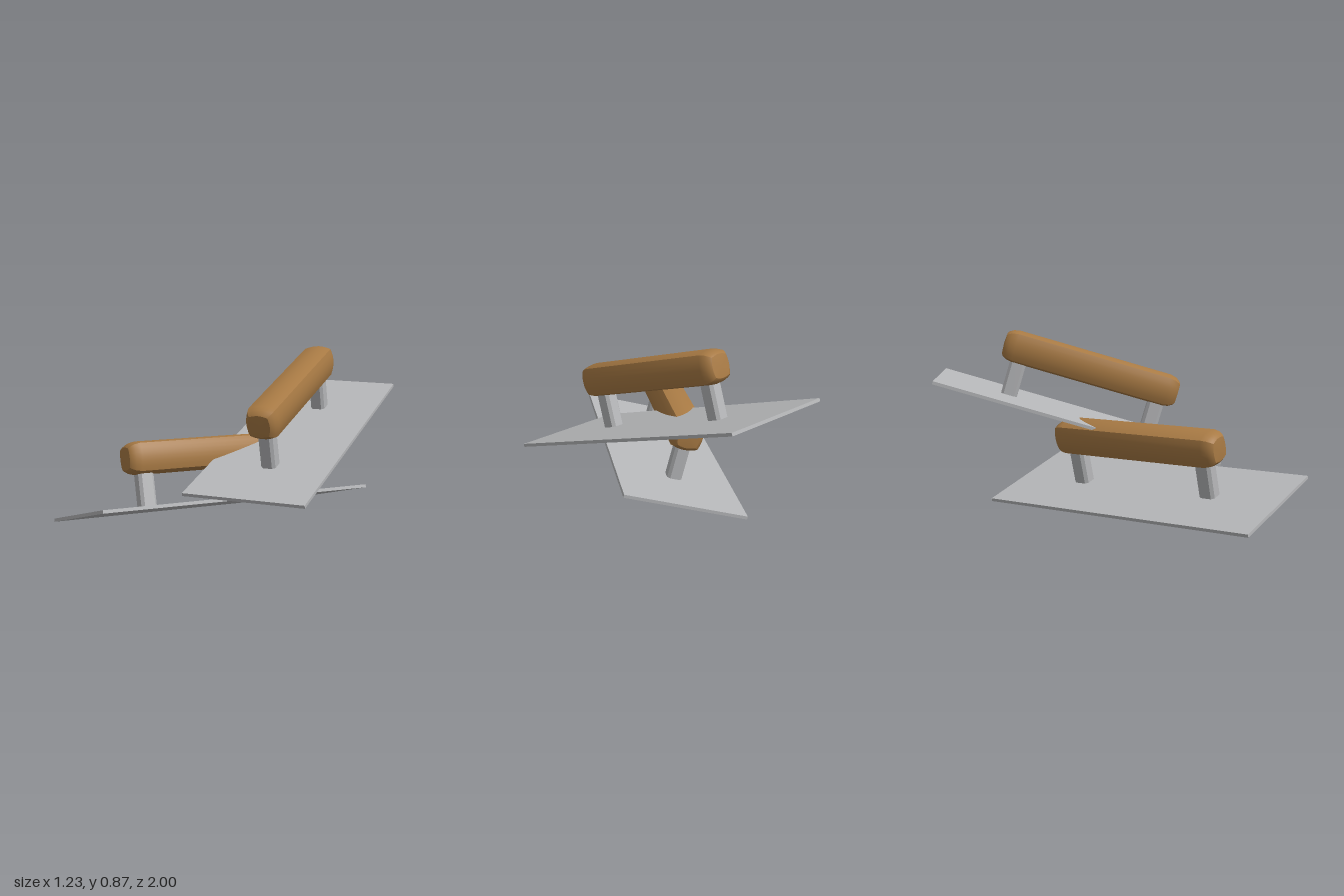
import * as THREE from 'three';
import { toCreasedNormals } from 'three/addons/utils/BufferGeometryUtils.js';

// Grip: a square section with bulging sides, softly tapered at both ends
function gripGeometry() {
  const section = [];
  const steps = 6, corner = 0.07, bulge = 0.014;
  for (let side = 0; side < 4; side++) {
    for (let i = 0; i < steps; i++) {
      const t = -1 + (2 * i) / steps;
      const p = new THREE.Vector2(corner + bulge * (1 - t * t), corner * t);
      section.push(p.rotateAround(new THREE.Vector2(), (side * Math.PI) / 2));
    }
  }
  const end = [[0.405, 1], [0.435, 0.92], [0.455, 0.78], [0.462, 0.68], [0.467, 0]];
  const rings = [...end.map(([z, s]) => [-z, s]).reverse(), ...end];
  const n = section.length, pos = [], index = [];
  rings.forEach(([z, s], r) => {
    section.forEach((p, i) => {
      pos.push(p.x * s, p.y * s, z);
      if (r === rings.length - 1) return;
      const a = r * n + i, b = r * n + ((i + 1) % n);
      if (r > 0) index.push(a, b, b + n);
      if (r < rings.length - 2) index.push(a, b + n, a + n);
      else index.push(a, b, a + n);
    });
  });
  // first ring is a point, so its triangles use the far edge only
  for (let i = 0; i < n; i++) {
    const at = index.indexOf(i);
    if (at < 0) index.push(i, n + ((i + 1) % n), n + i);
  }
  const fixed = [];
  for (let i = 0; i < index.length; i += 3) {
    const tri = index.slice(i, i + 3);
    const flat = new Set(tri.map((v) => (v < n ? -1 : v >= (rings.length - 1) * n ? -2 : v)));
    if (flat.size === 3) fixed.push(...tri);
  }
  const geo = new THREE.BufferGeometry();
  geo.setAttribute('position', new THREE.Float32BufferAttribute(pos, 3));
  geo.setIndex(fixed);
  return toCreasedNormals(geo, 0.5);
}

// Post: an upright bar with chamfered corners
function postGeometry(w, d, h, c) {
  const x = w / 2, y = d / 2;
  const outline = [
    [x, -y + c], [x, y - c], [x - c, y], [-x + c, y],
    [-x, y - c], [-x, -y + c], [-x + c, -y], [x - c, -y],
  ].map(([a, b]) => new THREE.Vector2(a, b));
  const geo = new THREE.ExtrudeGeometry(new THREE.Shape(outline), { depth: h, bevelEnabled: false });
  return geo.rotateX(-Math.PI / 2);
}

export function createModel() {
  const steel = new THREE.MeshStandardMaterial({ color: 0xb6b7b9 });
  steel.name = 'steel';
  const wood = new THREE.MeshStandardMaterial({ color: 0xa87a44 });
  wood.name = 'wood';

  const blade = new THREE.BoxGeometry(0.63, 0.016, 1.48);
  const post = postGeometry(0.076, 0.084, 0.24, 0.014);
  const grip = gripGeometry();

  // One trowel, placed by its centre, its length axis and its width axis
  function trowel(name, centre, along, across) {
    const g = new THREE.Group();
    g.name = name;
    const add = (geo, mat, part, y, z) => {
      const m = new THREE.Mesh(geo, mat);
      m.name = part;
      m.position.set(0, y, z);
      g.add(m);
    };
    add(blade, steel, 'blade', 0, 0);
    add(post, steel, 'frontPost', 0, 0.37);
    add(post, steel, 'rearPost', 0, -0.37);
    add(grip, wood, 'handle', 0.257, 0);

    const z = new THREE.Vector3(...along).normalize();
    const y = z.clone().cross(new THREE.Vector3(...across)).normalize();
    const x = y.clone().cross(z);
    g.quaternion.setFromRotationMatrix(new THREE.Matrix4().makeBasis(x, y, z));
    g.position.set(...centre);
    return g;
  }

  const model = new THREE.Group();
  model.name = 'trowels';
  model.add(
    trowel('upperTrowel', [0, 0.425, -0.225], [0.67, -0.42, 1.25], [0.55, -0.01, -0.3]),
    trowel('lowerTrowel', [-0.13, 0.105, 0.225], [-0.21, 0.03, 1.47], [0.61, 0.16, 0.09]),
  );
  return model;
}
